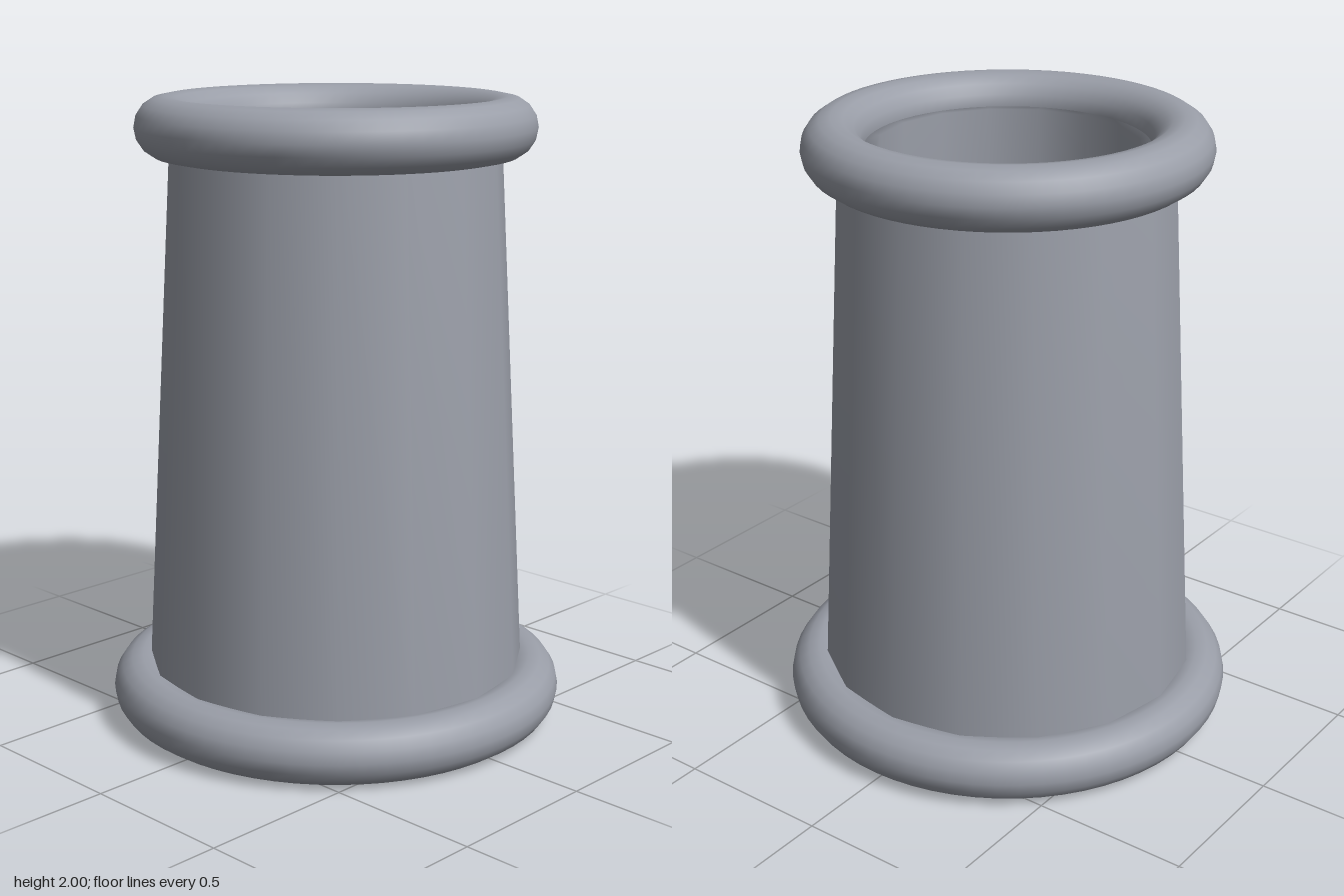
import * as THREE from 'three';

export function createModel() {
  const model = new THREE.Group();
  const grey = new THREE.MeshStandardMaterial({ color: 0x9a9ea8 });
  grey.name = 'grey';

  const add = (name, geometry, y = 0) => {
    const mesh = new THREE.Mesh(geometry, grey);
    mesh.name = name;
    mesh.position.y = y;
    model.add(mesh);
  };

  // Tapered hollow wall: outside up, over the rim, inside down, closed below
  const profile = [
    [0.615, 0.095], [0.515, 1.905], [0.405, 1.905], [0.505, 0.095], [0.615, 0.095],
  ].map(([r, y]) => new THREE.Vector2(r, y));
  add('wall', new THREE.LatheGeometry(profile, 16));

  // Rounded rings around both ends
  const ring = (radius) => new THREE.TorusGeometry(radius, 0.095, 16, 64).rotateX(-Math.PI / 2);
  add('baseRing', ring(0.635), 0.095);
  add('topRing', ring(0.53), 1.905);

  return model;
}
